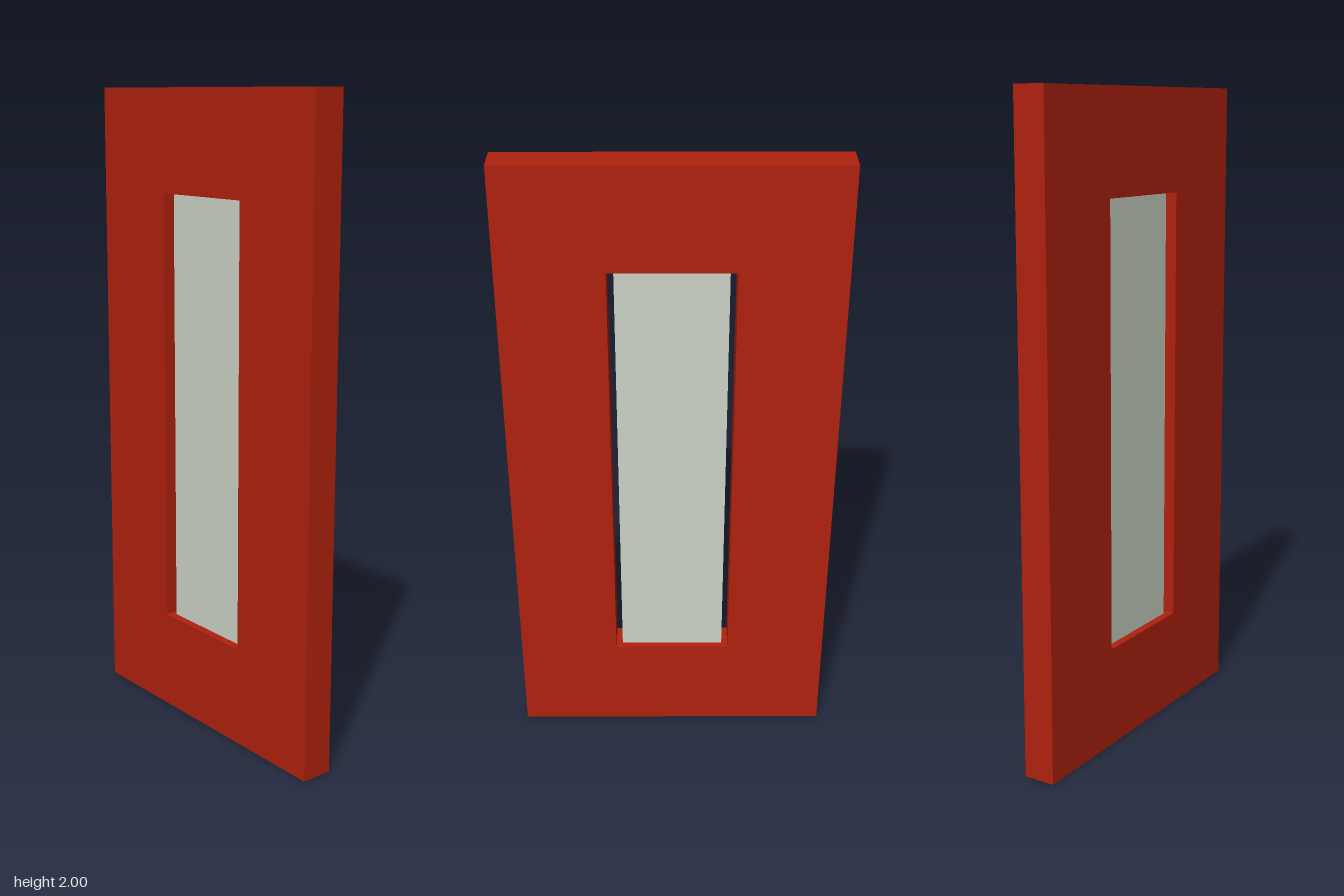
import * as THREE from 'three';

const red = new THREE.MeshStandardMaterial({ name: 'red paint', color: 0xb0220e });
const pale = new THREE.MeshStandardMaterial({ name: 'pale glass', color: 0xcdd4c7 });

const WIDTH = 1, HEIGHT = 2, DEPTH = 0.1;
const OPEN_X = 0.185, OPEN_BOTTOM = 0.315, OPEN_TOP = 1.685;

// Closed rectangle from its left, bottom, right and top edges
function rectangle(PathType, l, b, r, t) {
  return new PathType([[l, b], [r, b], [r, t], [l, t]].map(([x, y]) => new THREE.Vector2(x, y)));
}

export function createModel() {
  const group = new THREE.Group();
  group.name = 'door';

  // Door slab with a tall window opening cut right through
  const outline = rectangle(THREE.Shape, -WIDTH / 2, 0, WIDTH / 2, HEIGHT);
  outline.holes.push(rectangle(THREE.Path, -OPEN_X, OPEN_BOTTOM, OPEN_X, OPEN_TOP));
  const slab = new THREE.ExtrudeGeometry(outline, { depth: DEPTH, bevelEnabled: false });
  slab.translate(0, 0, -DEPTH / 2);
  const panel = new THREE.Mesh(slab, red);
  panel.name = 'doorPanel';
  group.add(panel);

  // Pane recessed on both sides, with a narrow gap at its left and right
  const pane = new THREE.Mesh(new THREE.BoxGeometry(0.33, OPEN_TOP - OPEN_BOTTOM, 0.05), pale);
  pane.name = 'windowPane';
  pane.position.y = (OPEN_BOTTOM + OPEN_TOP) / 2;
  group.add(pane);

  return group;
}
